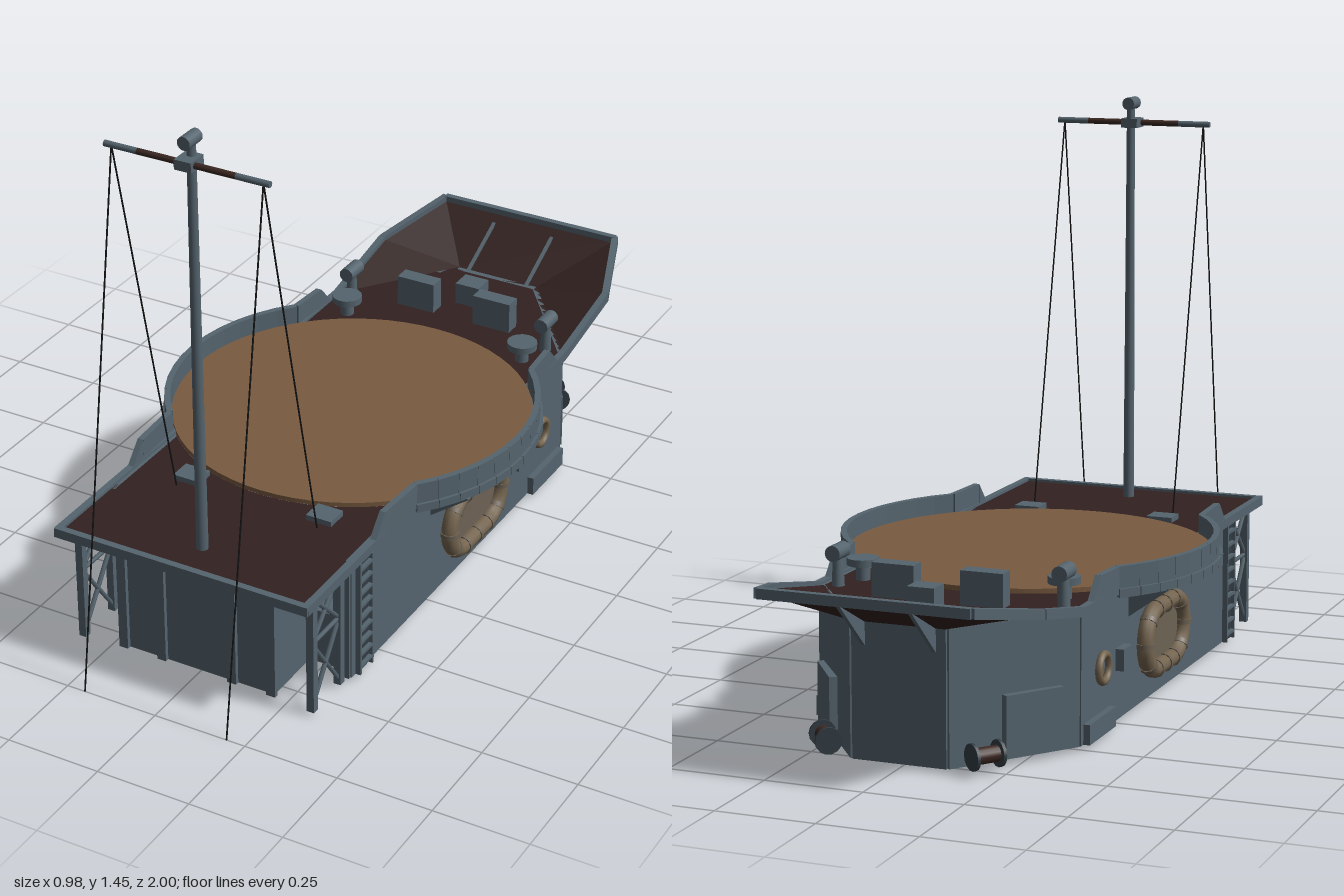
import * as THREE from 'three';

const mat = (name, color) => Object.assign(new THREE.MeshStandardMaterial({ color }), { name });

export function createModel() {
  const root = new THREE.Group();
  root.name = 'shipDeckhouse';
  const steel = mat('blueGreySteel', 0x55646e);
  const deckBrown = mat('deckBrown', 0x322120);
  deckBrown.side = THREE.DoubleSide;
  const tan = mat('tanPlatform', 0x795b40);
  const raftTan = mat('raftCanvas', 0x75654f);
  const net = mat('raftNet', 0x6d6254);
  const rust = mat('reelRust', 0x3c2822);
  const black = mat('rigging', 0x141414);
  const dark = mat('darkSteel', 0x333d44);

  const add = (name, geo, m, x = 0, y = 0, z = 0) => {
    const mesh = new THREE.Mesh(geo, m);
    mesh.name = name;
    mesh.position.set(x, y, z);
    root.add(mesh);
    return mesh;
  };
  const box = (name, w, h, d, x, y, z, m = steel) => add(name, new THREE.BoxGeometry(w, h, d), m, x, y, z);
  const cyl = (name, r1, r2, h, x, y, z, m = steel, n = 16) => add(name, new THREE.CylinderGeometry(r1, r2, h, n), m, x, y, z);
  // round bar between two points
  const bar = (name, a, b, r, m = steel, n = 6) => {
    const A = new THREE.Vector3(...a), B = new THREE.Vector3(...b), d = B.clone().sub(A);
    const mesh = add(name, new THREE.CylinderGeometry(r, r, d.length(), n), m);
    mesh.position.copy(A).add(B).multiplyScalar(0.5);
    mesh.quaternion.setFromUnitVectors(new THREE.Vector3(0, 1, 0), d.normalize());
  };
  // upright plate from p to q (x, z) with bottom and top heights at each end
  const panel = (name, p, q, bot, top, t, m = steel) => {
    const g = new THREE.BoxGeometry(1, 1, 1), v = g.attributes.position;
    const dx = q[0] - p[0], dz = q[1] - p[1], len = Math.hypot(dx, dz);
    for (let i = 0; i < v.count; i++) {
      const s = v.getX(i) + 0.5, h = v.getY(i) + 0.5, k = v.getZ(i) * t / len;
      const b = bot[0] + (bot[1] - bot[0]) * s, u = top[0] + (top[1] - top[0]) * s;
      v.setXYZ(i, p[0] + dx * s - dz * k, b + (u - b) * h, p[1] + dz * s + dx * k);
    }
    g.computeVertexNormals();
    return add(name, g, m);
  };
  const triPlate = (name, pts, t, m = steel) => {
    const g = new THREE.ExtrudeGeometry(new THREE.Shape(pts.map(p => new THREE.Vector2(...p))), { depth: t, bevelEnabled: false });
    return add(name, g.translate(0, 0, -t / 2), m);
  };

  // round platform and the two flat deck pieces around it
  const CZ = 0.03, R = 0.465, W = 0.345, Y = 0.345;
  const a0 = Math.acos(W / R);
  cyl('roundPlatform', R, R, 0.012, 0, 0.351, CZ, tan, 64);
  const arc = (r, from, to, n) => Array.from({ length: n + 1 }, (_, i) => {
    const a = from + (to - from) * i / n;
    return [r * Math.cos(a), CZ + r * Math.sin(a)];
  });
  const flat = (name, pts) => {
    const g = new THREE.ShapeGeometry(new THREE.Shape(pts.map(p => new THREE.Vector2(...p))));
    add(name, g.rotateX(Math.PI / 2), deckBrown, 0, Y, 0);
  };
  flat('frontDeck', [[-W, 0.87], [W, 0.87], ...arc(R, a0, Math.PI - a0, 32)]);
  flat('rearDeck', [[0.12, -0.8], [-0.12, -0.8], [-W, -0.5], ...arc(R, Math.PI + a0, 2 * Math.PI - a0, 32), [W, -0.5]]);

  // flared rear deck rising from the house to the outer rim
  const inner = [[W, Y, -0.5], [0.12, Y, -0.8], [-0.12, Y, -0.8], [-W, Y, -0.5]];
  const outer = [[W, 0.395, -0.76], [0.265, 0.44, -0.99], [-0.265, 0.44, -0.99], [-W, 0.395, -0.76]];
  const f = [inner[0], inner[1], outer[0], outer[0], inner[1], outer[1], inner[1], inner[2], outer[1],
    outer[1], inner[2], outer[2], inner[2], outer[3], outer[2], inner[2], inner[3], outer[3]];
  const flare = new THREE.BufferGeometry();
  flare.setAttribute('position', new THREE.Float32BufferAttribute(f.flat(), 3));
  flare.computeVertexNormals();
  add('rearFlare', flare, deckBrown);

  // rims
  const rim = (p, q, y1 = 0.352, y2 = y1) => panel('deckRim', p, q, [y1 - 0.025, y2 - 0.025], [y1, y2], 0.018);
  rim([-W - 0.008, 0.87], [W + 0.008, 0.87]);
  rim([-0.265, -0.99], [0.265, -0.99], 0.452);
  // rear brackets under the flare
  for (const x of [-0.09, 0.09]) {
    triPlate('rearBracket', [[0.79, 0.28], [0.95, 0.425], [0.79, 0.345]], 0.01).position.x = x;
    root.children[root.children.length - 1].rotation.y = Math.PI / 2;
  }
  panel('rearWall', [-0.12, -0.79], [0.12, -0.79], [0.01, 0.01], [Y, Y], 0.016);
  box('crossBeam', 0.72, 0.05, 0.18, 0, 0.035, -0.4);

  // front house with stiffeners
  box('frontHouse', 0.43, 0.325, 0.31, 0, 0.1725, 0.645);
  for (const x of [-0.21, -0.1, 0.1, 0.21]) box('houseStiffener', 0.025, 0.325, 0.012, x, 0.1725, 0.805);
  box('frontBeam', 0.66, 0.03, 0.02, 0, 0.315, 0.815);

  for (const s of [1, -1]) {
    const X = s * 0.335;
    rim([s * W, 0.875], [s * W, 0.34]);
    rim([s * W, -0.28], [s * W, -0.5]);
    rim([s * W, -0.5], [s * W, -0.76], 0.352, 0.405);
    rim([s * W, -0.76], [s * 0.265, -0.99], 0.405, 0.452);

    // raised bulwark: straight ends with a bulge round the platform
    const side = arc(0.476, a0, -a0, 12).map(p => [s * p[0], p[1]]);
    const path = [[s * W, 0.55], [s * W, 0.5], ...side, [s * W, -0.4], [s * W, -0.45]];
    for (let i = 0; i + 1 < path.length; i++) {
      const h = j => (j === 0 || j === path.length - 1 ? 0.35 : 0.405);
      panel('bulwark', path[i], path[i + 1], [0.335, 0.335], [h(i), h(i + 1)], 0.016);
    }
    for (let i = 0; i < 12; i++) panel('bulwarkLip', side[i], side[i + 1], [0.328, 0.328], [0.35, 0.35], 0.03);
    for (const z of [0.24, -0.17])
      triPlate('platformBracket', [[s * 0.34, 0.25], [s * 0.45, 0.33], [s * 0.34, 0.335]], 0.014).position.z = z;

    // side and angled walls
    panel('sideWall', [X, 0.65], [X, -0.505], [0.01, 0.01], [Y, Y], 0.016);
    panel('angledWall', [X, -0.505], [s * 0.12, -0.79], [0.01, 0.01], [Y, Y], 0.016);
    panel('door', [s * 0.31, -0.555], [s * 0.217, -0.685], [0.02, 0.02], [0.17, 0.17], 0.028);
    box('frontLocker', 0.07, 0.15, 0.06, s * 0.26, 0.085, 0.6);
    box('wallPost', 0.04, 0.325, 0.015, s * 0.32, 0.1725, 0.65);

    // lattice legs under the front deck
    for (const z of [0.81, 0.68]) box('frontLeg', 0.02, 0.325, 0.02, s * 0.325, 0.1725, z);
    for (const [y1, y2] of [[0.02, 0.2], [0.2, 0.02], [0.2, 0.33], [0.33, 0.2]])
      bar('legBrace', [s * 0.325, y1, 0.81], [s * 0.325, y2, 0.68], 0.006);
    bar('legTie', [s * 0.325, 0.2, 0.81], [s * 0.325, 0.2, 0.68], 0.006);

    // ladder
    box('ladderBack', 0.004, 0.32, 0.06, s * 0.345, 0.17, 0.597, dark);
    for (const z of [0.567, 0.627]) box('ladderRail', 0.014, 0.32, 0.007, s * 0.35, 0.17, z);
    for (let i = 0; i < 9; i++) box('ladderRung', 0.014, 0.008, 0.06, s * 0.35, 0.03 + i * 0.035, 0.597);

    // life raft: oval tube with bands and a net floor
    const oval = [];
    for (let i = 0; i < 32; i++) {
      const a = i / 32 * Math.PI * 2, c = Math.cos(a);
      oval.push(new THREE.Vector3(s * 0.362, 0.163 + 0.077 * Math.sin(a), 0.035 + 0.076 * c + Math.sign(Math.abs(c) < 1e-6 ? 0 : c) * 0.065));
    }
    const curve = new THREE.CatmullRomCurve3(oval, true);
    add('raftTube', new THREE.TubeGeometry(curve, 64, 0.022, 10, true), raftTan);
    for (let i = 0; i < 12; i++) {
      const p = curve.getPointAt(i / 12), t = curve.getTangentAt(i / 12).multiplyScalar(0.006);
      bar('raftBand', p.clone().sub(t).toArray(), p.clone().add(t).toArray(), 0.0245, net, 10);
    }
    box('raftFloor', 0.008, 0.14, 0.26, s * 0.352, 0.163, 0.035, net);

    // lifebuoy and wall box
    const buoy = add('lifebuoy', new THREE.TorusGeometry(0.034, 0.01, 8, 24), raftTan, s * 0.35, 0.17, -0.37);
    buoy.rotation.y = Math.PI / 2;
    box('wallBox', 0.03, 0.055, 0.06, s * 0.35, 0.165, -0.24);

    // cable reel on the angled wall
    const reel = new THREE.Group();
    reel.name = 'cableReel';
    for (const [r, h, y, m] of [[0.02, 0.07, 0, rust], [0.033, 0.008, 0.035, dark], [0.033, 0.008, -0.035, dark]]) {
      const c = new THREE.Mesh(new THREE.CylinderGeometry(r, r, h, 14), m);
      c.name = 'reelPart';
      c.position.y = y;
      reel.add(c);
    }
    reel.position.set(s * 0.205, 0.045, -0.765);
    reel.quaternion.setFromUnitVectors(new THREE.Vector3(0, 1, 0), new THREE.Vector3(s * 0.215, 0, 0.285).normalize());
    root.add(reel);

    // deck fittings
    cyl('ventStem', 0.018, 0.018, 0.06, s * 0.265, 0.37, -0.415);
    cyl('ventCap', 0.04, 0.04, 0.018, s * 0.265, 0.392, -0.415);
    cyl('lampPost', 0.012, 0.016, 0.08, s * 0.295, 0.385, -0.495);
    cyl('lampHead', 0.02, 0.02, 0.065, s * 0.295, 0.43, -0.495).rotation.x = Math.PI / 2;
    box('deckLocker', 0.11, 0.085, 0.045, s * 0.115, 0.388, -0.55);
    box('deckHatch', 0.07, 0.014, 0.06, s * 0.19, 0.352, 0.51);

    // rigging and yard arm
    bar('frontStay', [s * 0.2, 1.38, 0.79], [s * 0.2, 0, 1], 0.0022, black, 5);
    bar('rearStay', [s * 0.2, 1.38, 0.79], [s * 0.2, 0.35, 0.565], 0.0022, black, 5);
    bar('yardInner', [0, 1.38, 0.79], [s * 0.13, 1.38, 0.79], 0.008, rust, 8);
    bar('yardOuter', [s * 0.13, 1.38, 0.79], [s * 0.218, 1.38, 0.79], 0.008, steel, 8);
  }

  // mast
  box('rearLocker', 0.07, 0.06, 0.06, 0, 0.375, -0.64);
  cyl('mast', 0.011, 0.015, 1.08, 0, 0.88, 0.768, steel, 12);
  box('yardClamp', 0.045, 0.025, 0.055, 0, 1.38, 0.78);
  cyl('mastLamp', 0.017, 0.017, 0.055, 0, 1.433, 0.773).rotation.x = Math.PI / 2;
  return root;
}
